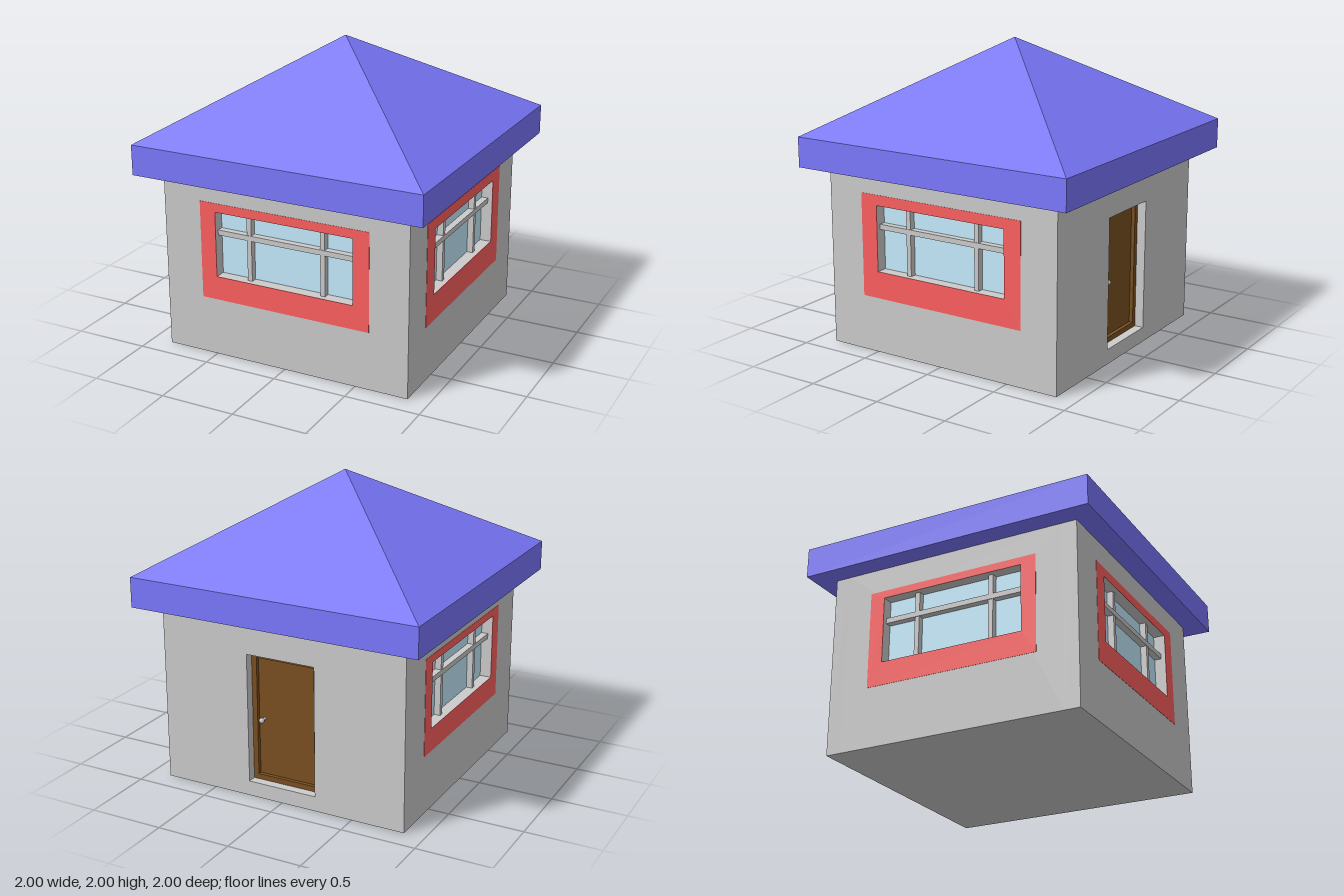
import * as THREE from 'three';

const HALF = 0.86, WALL = 0.1, WALL_TOP = 1.2;
const material = (color) => new THREE.MeshStandardMaterial({ color, flatShading: true });
const grey = material(0xcccccc), blue = material(0x7c79ff), red = material(0xff6060);
const glass = material(0xc6ecff), brown = material(0x7a5020);

function add(parent, name, geometry, mat, x = 0, y = 0, z = 0) {
  const mesh = new THREE.Mesh(geometry, mat);
  mesh.name = name;
  mesh.position.set(x, y, z);
  parent.add(mesh);
  return mesh;
}

// Box given by its extents on each axis
function block(parent, name, mat, [x0, x1], [y0, y1], [z0, z1]) {
  return add(parent, name, new THREE.BoxGeometry(x1 - x0, y1 - y0, z1 - z0), mat,
    (x0 + x1) / 2, (y0 + y1) / 2, (z0 + z1) / 2);
}

function rect(path, w, y0, y1) {
  path.moveTo(-w, y0).lineTo(w, y0).lineTo(w, y1).lineTo(-w, y1);
  path.closePath();
  return path;
}

// Upright rectangular slab with a rectangular opening, its face at z = front
function pierced(parent, name, mat, outer, hole, front, depth) {
  const shape = rect(new THREE.Shape(), ...outer);
  shape.holes.push(rect(new THREE.Path(), ...hole));
  const geometry = new THREE.ExtrudeGeometry(shape, { depth, bevelEnabled: false });
  return add(parent, name, geometry, mat, 0, 0, front - depth);
}

// Wall with a red surround and a recessed, barred window
function windowWall(name, halfWidth, trim) {
  const wall = new THREE.Group();
  wall.name = name;
  const opening = [0.485, 0.55, 0.99];
  pierced(wall, 'wallPanel', grey, [halfWidth, 0, WALL_TOP], opening, HALF, WALL);
  pierced(wall, 'windowSurround', red, trim, opening, HALF + 0.002, 0.004);
  block(wall, 'windowGlass', glass, [-0.485, 0.485], [0.55, 0.99], [HALF - 0.1, HALF - 0.075]);
  block(wall, 'windowCrossbar', grey, [-0.485, 0.485], [0.825, 0.86], [HALF - 0.08, HALF - 0.03]);
  for (const x of [-0.26, 0.26])
    block(wall, 'windowPost', grey, [x - 0.016, x + 0.016], [0.55, 0.99], [HALF - 0.08, HALF - 0.034]);
  return wall;
}

// Wall with a recessed door
function doorWall() {
  const wall = new THREE.Group();
  wall.name = 'doorWall';
  const opening = [0.24, 0.1, 0.97];
  pierced(wall, 'wallPanel', grey, [HALF, 0, WALL_TOP], opening, HALF, WALL);
  pierced(wall, 'doorFrame', brown, opening, [0.205, 0.135, 0.935], HALF - 0.06, 0.04);
  block(wall, 'doorPanel', brown, [-0.24, 0.24], [0.1, 0.97], [HALF - 0.12, HALF - 0.085]);
  const stem = add(wall, 'doorKnobStem', new THREE.CylinderGeometry(0.009, 0.009, 0.05, 12), grey,
    -0.165, 0.52, HALF - 0.07);
  stem.rotation.x = Math.PI / 2;
  add(wall, 'doorKnob', new THREE.SphereGeometry(0.018, 16, 12),
    new THREE.MeshStandardMaterial({ color: 0xcccccc }), -0.165, 0.52, HALF - 0.045);
  return wall;
}

// Four-sided pyramid above a square eave
function pyramid(half, height) {
  const geometry = new THREE.ConeGeometry(half * Math.SQRT2, height, 4, 1, true);
  geometry.rotateY(Math.PI / 4);
  return geometry;
}

export function createModel() {
  const house = new THREE.Group();
  house.name = 'house';

  // Walls, each built facing +z and turned into place
  const inner = HALF - WALL;
  house.add(windowWall('frontWall', HALF, [0.595, 0.39, 1.05]));
  const right = windowWall('sideWall', inner, [0.605, 0.37, 1.06]);
  right.rotation.y = Math.PI / 2;
  const left = windowWall('oppositeSideWall', inner, [0.585, 0.395, 1.04]);
  left.rotation.y = -Math.PI / 2;
  const back = doorWall();
  back.rotation.y = Math.PI;
  house.add(right, left, back);

  block(house, 'floor', grey, [-inner, inner], [0, 0.05], [-inner, inner]);

  // Roof
  block(house, 'roofEave', blue, [-1, 1], [WALL_TOP, 1.4], [-1, 1]);
  add(house, 'roofPyramid', pyramid(1, 0.6), blue, 0, 1.7, 0);

  return house;
}
